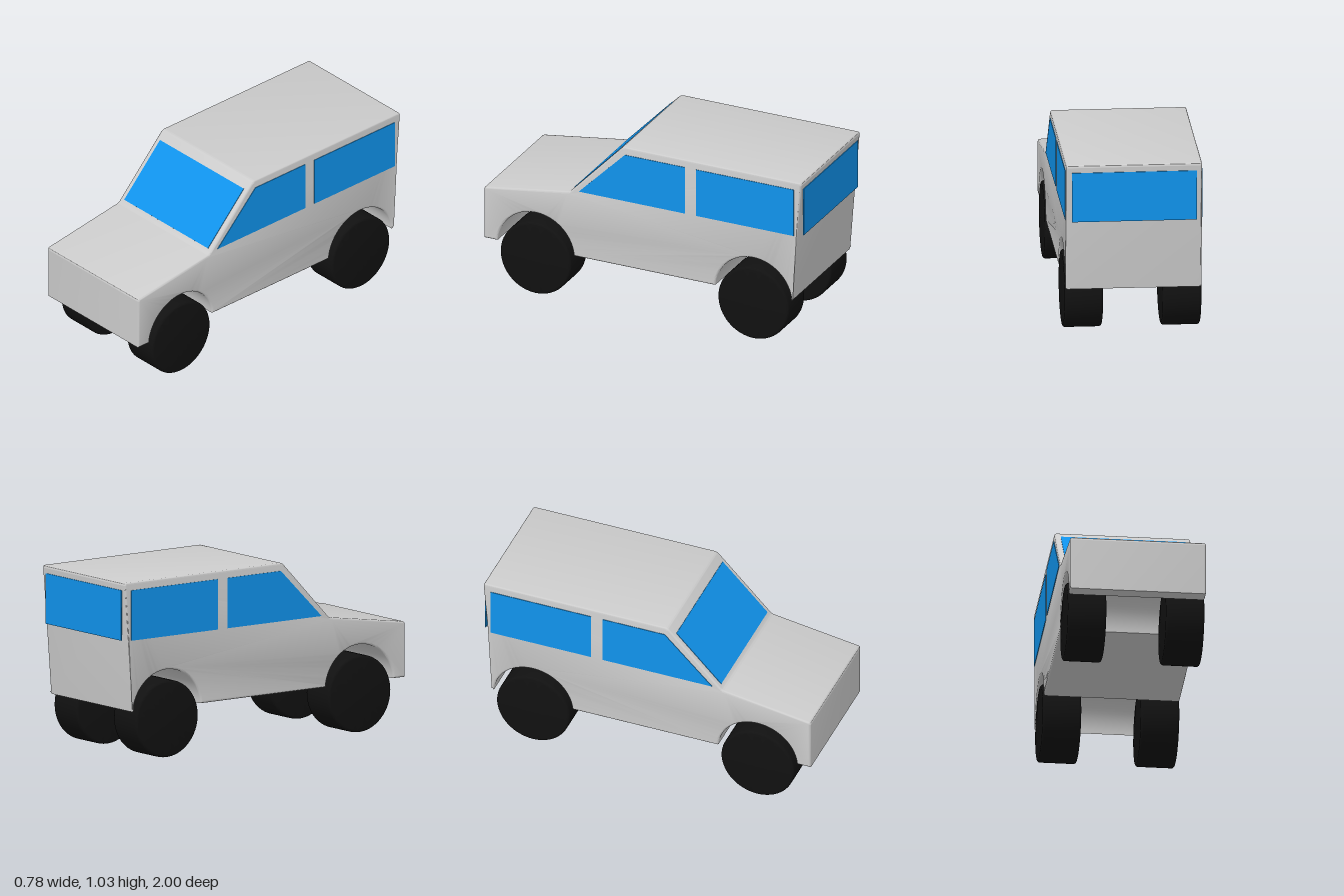
import * as THREE from 'three';
import { toCreasedNormals } from 'three/addons/utils/BufferGeometryUtils.js';

const HALF_WIDTH = 0.388;
const paint = new THREE.MeshStandardMaterial({ color: 0xcccccc });
const glass = new THREE.MeshStandardMaterial({ color: 0x1093ec });
const rubber = new THREE.MeshStandardMaterial({ color: 0x111111 });
const AXLES = [-0.697, 0.675];

function addMesh(parent, name, geometry, material) {
  const mesh = new THREE.Mesh(geometry, material);
  mesh.name = name;
  parent.add(mesh);
  return mesh;
}

// Side outline drawn in (z, y): arches cut into the floor line, soft upper corners
function bodyShape() {
  const floor = 0.285, archY = 0.265, archR = 0.242;
  const dip = Math.asin((floor - archY) / archR);
  const corners = [[1, floor], [1, 0.605], [0.46, 0.685], [0.125, 1.035], [-1, 1.035], [-1, floor]]
    .map(([z, y]) => new THREE.Vector2(z, y));
  const shape = new THREE.Shape();
  shape.moveTo(-1, floor);
  for (const z of AXLES) shape.absarc(z, archY, archR, Math.PI - dip, dip, true);
  shape.lineTo(1, floor);
  for (let i = 1; i < corners.length - 1; i++) {
    const c = corners[i], r = 0.016;
    const before = corners[i - 1].clone().sub(c).setLength(r).add(c);
    const after = corners[i + 1].clone().sub(c).setLength(r).add(c);
    shape.lineTo(before.x, before.y);
    shape.quadraticCurveTo(c.x, c.y, after.x, after.y);
  }
  shape.closePath();
  return shape;
}

// Body shell spanning the full width with a small rounded edge
function makeBody() {
  const bevel = 0.012, depth = 2 * (HALF_WIDTH - bevel);
  const geometry = new THREE.ExtrudeGeometry(bodyShape(), {
    depth, curveSegments: 24, bevelEnabled: true, bevelSegments: 3,
    bevelSize: bevel, bevelThickness: bevel, bevelOffset: -bevel,
  });
  geometry.translate(0, 0, -depth / 2).rotateY(-Math.PI / 2);
  return toCreasedNormals(geometry, 0.65);
}

// Thin side pane from a (z, y) outline, centred on x = 0
function makeSidePane(points) {
  const shape = new THREE.Shape(points.map(([z, y]) => new THREE.Vector2(z, y)));
  return new THREE.ExtrudeGeometry(shape, { depth: 0.006, bevelEnabled: false })
    .translate(0, 0, -0.003).rotateY(-Math.PI / 2);
}

// Plain solid wheel with rounded shoulders, axis along x
function makeWheel() {
  const r = 0.222, h = 0.11, e = 0.015;
  const profile = [new THREE.Vector2(0, -h)];
  for (const [cy, start] of [[-h + e, -Math.PI / 2], [h - e, 0]]) {
    for (let i = 0; i <= 4; i++) {
      const a = start + (i / 4) * Math.PI / 2;
      profile.push(new THREE.Vector2(r - e + e * Math.cos(a), cy + e * Math.sin(a)));
    }
  }
  profile.push(new THREE.Vector2(0, h));
  const geometry = new THREE.LatheGeometry(profile, 64).rotateZ(Math.PI / 2);
  return toCreasedNormals(geometry.toNonIndexed(), 0.5);
}

export function createModel() {
  const model = new THREE.Group();
  model.name = 'car';
  addMesh(model, 'body', makeBody(), paint);

  // Side windows and wheels, mirrored left and right
  const frontPane = makeSidePane([[0.4, 0.7], [0.11, 0.99], [-0.27, 0.99], [-0.27, 0.7]]);
  const rearPane = makeSidePane([[-0.34, 0.7], [-0.34, 0.99], [-0.955, 0.99], [-0.955, 0.7]]);
  const wheel = makeWheel();
  for (const [side, s] of [['left', 1], ['right', -1]]) {
    addMesh(model, side + 'FrontWindow', frontPane, glass).position.x = s * HALF_WIDTH;
    addMesh(model, side + 'RearWindow', rearPane, glass).position.x = s * HALF_WIDTH;
    AXLES.forEach((z, i) => {
      addMesh(model, side + (i ? 'Front' : 'Rear') + 'Wheel', wheel, rubber)
        .position.set(s * 0.28, 0.222, z);
    });
  }

  // Windscreen lies on the sloped front pillar line
  const rise = 0.35, run = 0.335;
  const paneLength = 0.286 * Math.hypot(rise, run) / rise;
  const windscreen = addMesh(model, 'windscreen', new THREE.BoxGeometry(0.712, paneLength, 0.006), glass);
  windscreen.position.set(0, 0.848, 0.46 - (0.848 - 0.685) * run / rise);
  windscreen.rotation.x = -Math.atan2(run, rise);

  // Tailgate window
  const rear = addMesh(model, 'tailgateWindow', new THREE.BoxGeometry(0.712, 0.29, 0.006), glass);
  rear.position.set(0, 0.845, -0.999);
  return model;
}
